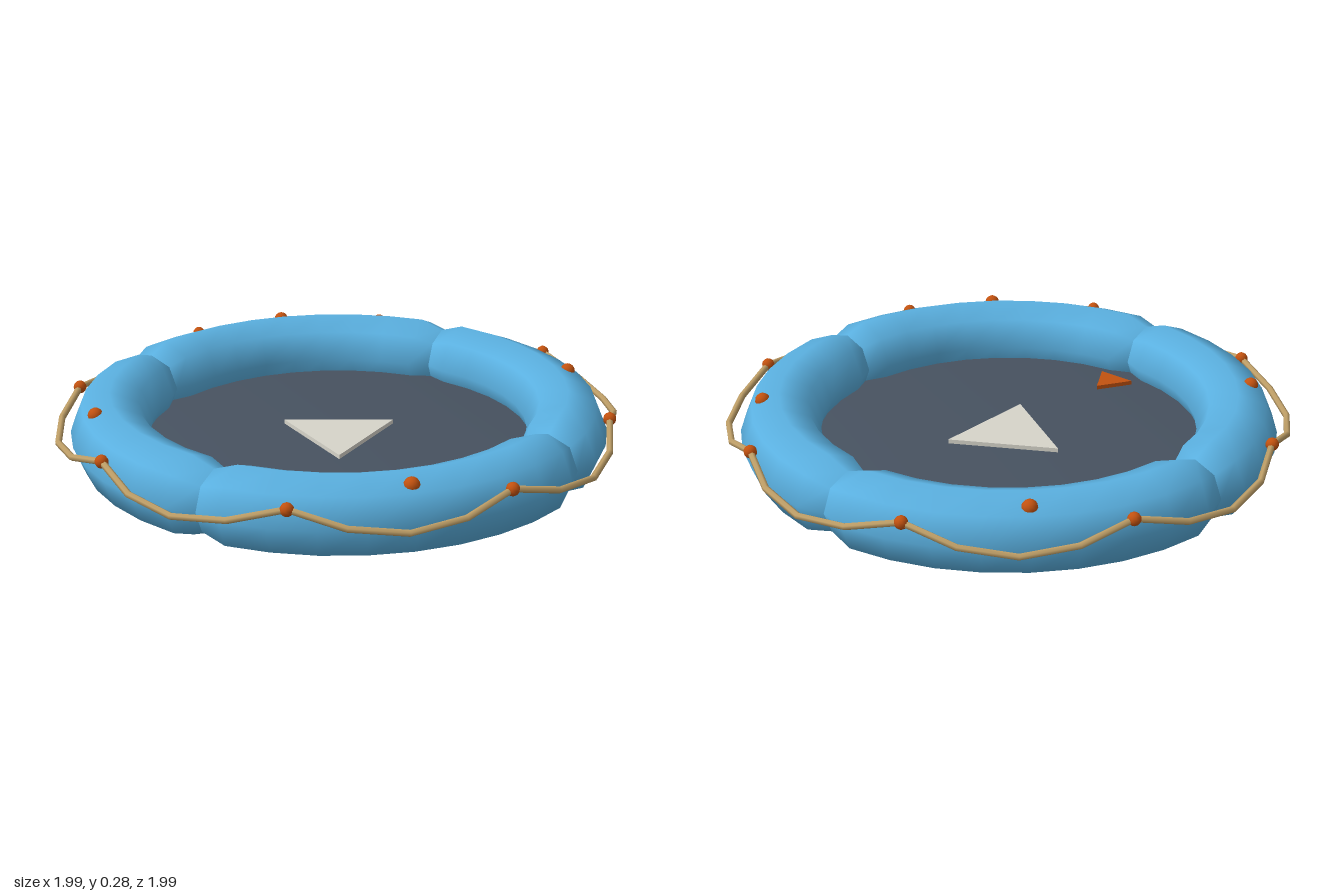
import * as THREE from 'three';
import { mergeVertices } from 'three/addons/utils/BufferGeometryUtils.js';

const mat = (name, color) => {
  const m = new THREE.MeshStandardMaterial({ color });
  m.name = name;
  return m;
};

// Quarter of the ring: octagonal tube, pinched at both ends
function tubeQuarterGeometry() {
  const sides = 8, steps = 10, end = THREE.MathUtils.degToRad(6.2);
  let geo = new THREE.TorusGeometry(0.8, 0.14, sides, steps, Math.PI / 2);
  const pos = geo.attributes.position;
  for (let j = 0; j <= sides; j++) {
    for (let i = 0; i <= steps; i++) {
      const tip = i === 0 || i === steps;
      const r = tip ? 0.11 : 0.14;
      const u = i === 0 ? 0 : i === steps ? Math.PI / 2
        : end + (Math.PI / 2 - 2 * end) * (i - 1) / (steps - 2);
      const v = (j % sides) / sides * Math.PI * 2;
      const d = 0.8 + r * Math.cos(v);
      pos.setXYZ(j * (steps + 1) + i, d * Math.cos(u), d * Math.sin(u), r * Math.sin(v));
    }
  }
  geo.deleteAttribute('normal');
  geo.deleteAttribute('uv');
  geo = mergeVertices(geo);
  geo.rotateX(-Math.PI / 2);
  geo.computeVertexNormals();
  return geo;
}

// Flat plate lying on the floor; corners are [x, z]
function plateGeometry(corners, topY, depth) {
  const shape = new THREE.Shape(corners.map(([x, z]) => new THREE.Vector2(x, z)));
  const geo = new THREE.ExtrudeGeometry(shape, { depth, bevelEnabled: false });
  geo.rotateX(Math.PI / 2);
  geo.translate(0, topY, 0);
  return geo;
}

export function createModel() {
  const blue = mat('ringBlue', 0x5ab0e0);
  const slate = mat('floorSlate', 0x475260);
  const orange = mat('fittingOrange', 0xc25210);
  const tan = mat('ropeTan', 0xc0a068);
  const pale = mat('markerPale', 0xd6d4ca);

  const model = new THREE.Group();
  model.name = 'inflatableRaft';
  const add = (name, geo, material, x = 0, y = 0, z = 0) => {
    const mesh = new THREE.Mesh(geo, material);
    mesh.name = name;
    mesh.position.set(x, y, z);
    model.add(mesh);
    return mesh;
  };

  // Inflated ring and its valves
  const quarter = tubeQuarterGeometry();
  const valve = new THREE.SphereGeometry(0.027, 12, 8);
  for (let k = 0; k < 4; k++) {
    add('ringQuarter', quarter, blue, 0, 0.14, 0).rotation.y = k * Math.PI / 2;
    const a = Math.PI / 4 + k * Math.PI / 2;
    add('valve', valve, orange, 0.858 * Math.cos(a), 0.251, 0.858 * Math.sin(a));
  }

  // Floor, softly rounded toward the rim
  const section = [[0, 0.03], [0.75, 0.03], [0.75, 0.09], [0, 0.09]]
    .map(([r, y]) => new THREE.Vector2(r, y));
  add('floor', new THREE.LatheGeometry(section, 48), slate);

  // Floor markers
  add('centreMarker', plateGeometry([[-0.225, 0], [0.1125, -0.195], [0.1125, 0.195]], 0.105, 0.02), pale);
  add('frontMarker', plateGeometry([[0, 0.503], [0.07, 0.623], [-0.07, 0.623]], 0.105, 0.02), orange);

  // Grab rope: eight sagging spans of four straight pieces
  const path = new THREE.CurvePath();
  const ropePoint = (i) => {
    const a = THREE.MathUtils.degToRad(25 + i * 11.25);
    const sag = Math.sin((i % 4) / 4 * Math.PI);
    const r = 0.945 + 0.04 * sag;
    return new THREE.Vector3(r * Math.cos(a), 0.213 - 0.066 * sag, r * Math.sin(a));
  };
  const points = Array.from({ length: 32 }, (_, i) => ropePoint(i));
  // Evenly indexed polyline so that each tube ring sits on a rope corner
  path.getPointAt = (t, out = new THREE.Vector3()) => {
    const f = (t % 1) * 32, i = Math.floor(f + 1e-6) % 32;
    return out.copy(points[i]).lerp(points[(i + 1) % 32], Math.max(0, f - Math.floor(f + 1e-6)));
  };
  path.getTangentAt = (t, out = new THREE.Vector3()) => {
    const i = Math.round(t * 32) % 32;
    return out.copy(points[(i + 1) % 32]).sub(points[(i + 31) % 32]).normalize();
  };
  add('grabRope', new THREE.TubeGeometry(path, 32, 0.012, 6, true), tan);

  // Rope anchors
  const anchor = new THREE.SphereGeometry(0.023, 10, 8);
  for (let k = 0; k < 8; k++) {
    const p = points[k * 4];
    add('ropeAnchor', anchor, orange, p.x, p.y, p.z);
  }
  return model;
}
